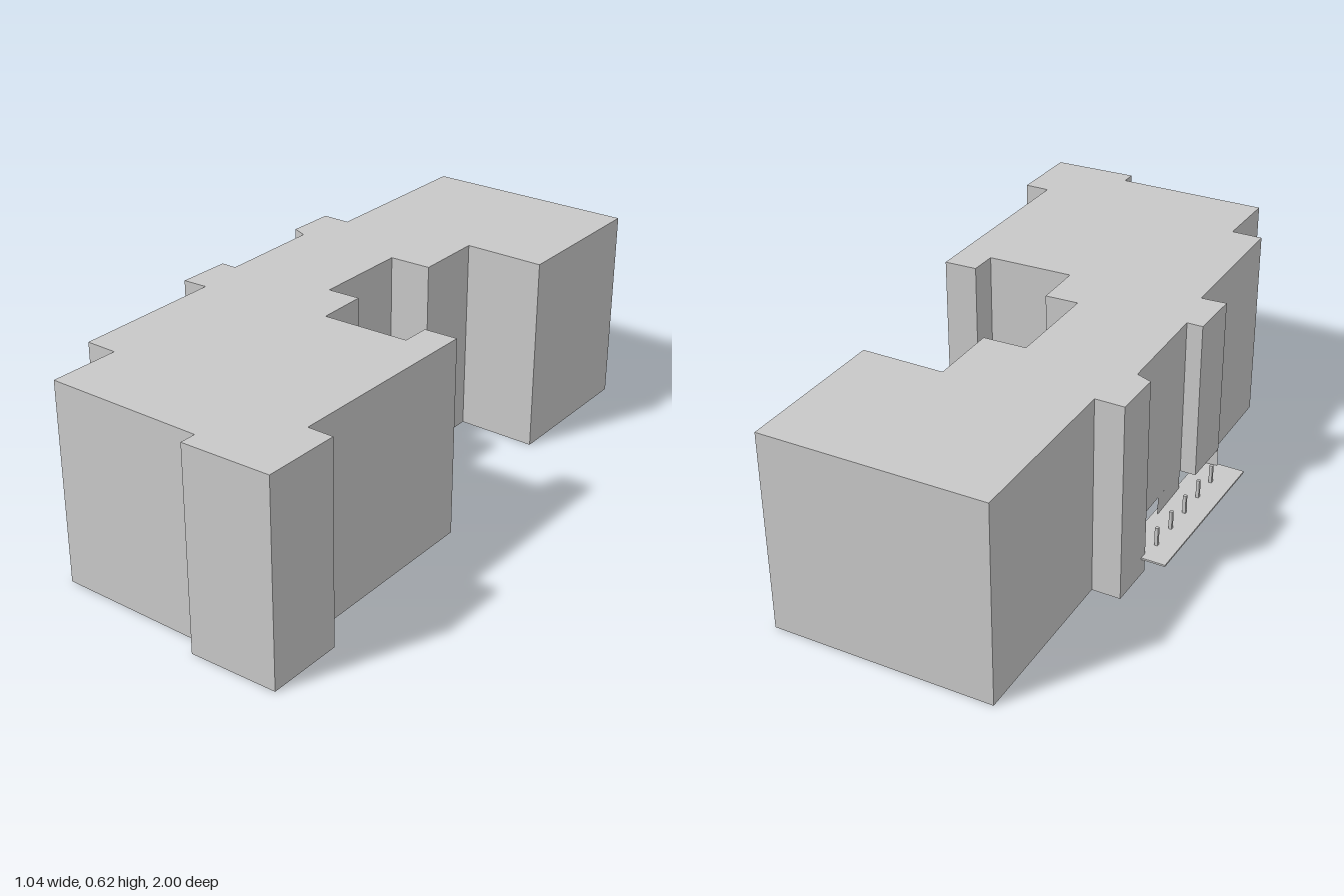
import * as THREE from 'three';

const TOP = 0.625, FLOOR = 0.12, DECK = 0.06;

// Footprint corners [x, z], starting at the back and running round by +x
const FOOTPRINT = [
  [-0.37, -0.99], [0.32, -1], [0.33, -0.5], [0.07, -0.5], [0.075, -0.275],
  [-0.06, -0.27], [-0.055, 0.045], [0.05, 0.04], [0.055, 0.2], [0.33, 0.19],
  [0.33, 0.1], [0.435, 0.095], [0.44, 0.75], [0.52, 0.75], [0.52, 0.99],
  [0.245, 1], [0.245, 0.95], [-0.25, 0.955], [-0.25, 0.735], [-0.35, 0.735],
  [-0.36, 0.25], [-0.44, 0.255], [-0.44, 0.085], [-0.39, 0.085],
  [-0.4, -0.255], [-0.45, -0.275], [-0.45, -0.43], [-0.36, -0.43],
];
// Edges left open at ground level beside the porch
const OPEN_EDGES = [21, 22, 23];

// Upright wall panel between two ground points
function addPanel(positions, [ax, az], [bx, bz], y0, y1) {
  positions.push(
    bx, y0, bz, ax, y0, az, ax, y1, az,
    bx, y0, bz, ax, y1, az, bx, y1, bz,
  );
}

function panelGeometry(positions) {
  const g = new THREE.BufferGeometry();
  g.setAttribute('position', new THREE.Float32BufferAttribute(positions, 3));
  g.computeVertexNormals();
  return g;
}

export function createModel() {
  const group = new THREE.Group();
  group.name = 'building';
  const grey = new THREE.MeshStandardMaterial({ color: 0xc8c8c8, side: THREE.DoubleSide });
  grey.name = 'light grey';

  const add = (name, geometry, x = 0, y = 0, z = 0) => {
    const mesh = new THREE.Mesh(geometry, grey);
    mesh.name = name;
    mesh.position.set(x, y, z);
    group.add(mesh);
  };

  // Main block, from the raised floor to the flat roof
  const shape = new THREE.Shape(FOOTPRINT.map(([x, z]) => new THREE.Vector2(x, -z)));
  const block = new THREE.ExtrudeGeometry(shape, { depth: TOP - FLOOR, bevelEnabled: false });
  block.rotateX(-Math.PI / 2);
  add('mainBlock', block, 0, FLOOR, 0);

  // Thin ground-level walls, hollow below the floor
  const walls = [];
  FOOTPRINT.forEach((a, i) => {
    if (!OPEN_EDGES.includes(i)) addPanel(walls, a, FOOTPRINT[(i + 1) % FOOTPRINT.length], 0, FLOOR);
  });
  add('groundWalls', panelGeometry(walls));

  // Short panel hanging behind the porch
  const entry = [];
  addPanel(entry, [-0.39, 0.08], [-0.395, -0.08], DECK, FLOOR);
  add('entryPanel', panelGeometry(entry));

  // Porch deck and its row of posts
  add('porchDeck', new THREE.BoxGeometry(0.145, 0.006, 0.565), -0.4525, DECK - 0.003, -0.0175);
  for (let i = 0; i < 5; i++) {
    add('porchPost', new THREE.BoxGeometry(0.01, FLOOR - DECK, 0.01),
      -0.46, (FLOOR + DECK) / 2, -0.22 + i * 0.095);
  }
  return group;
}
